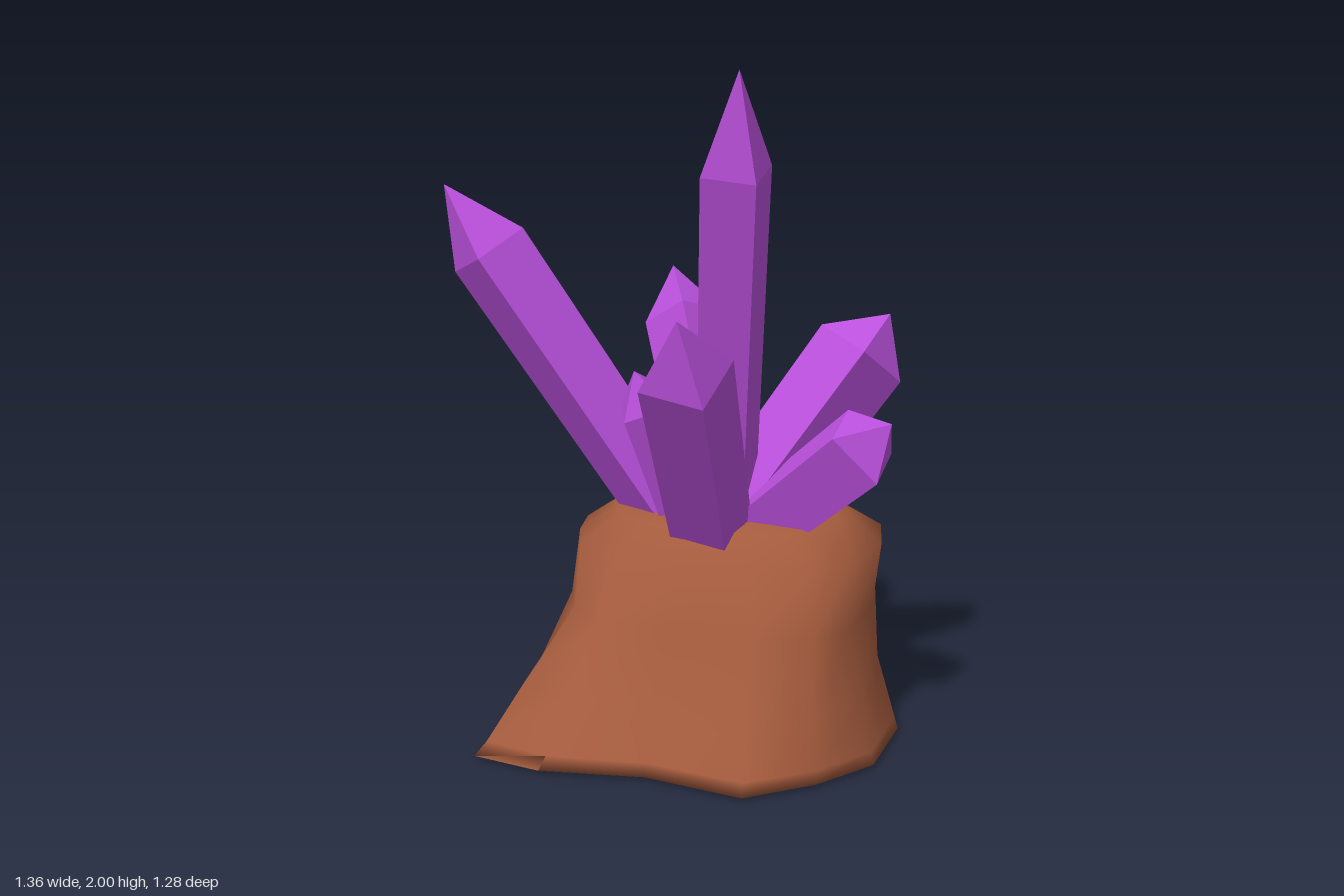
import * as THREE from 'three';

const crystalPurple = new THREE.MeshStandardMaterial({ color: 0xba50dc });
const rockBrown = new THREE.MeshStandardMaterial({ color: 0xa65c3e });

// Four-sided pointed crystal from base to tip, one ridge turned upward, then spun
function crystal(name, base, tip, radius, shoulder, spin) {
  const from = new THREE.Vector3(...base);
  const axis = new THREE.Vector3(...tip).sub(from);
  const length = axis.length();
  axis.normalize();
  const profile = [[0, 0], [radius * 0.92, 0], [radius, length * shoulder], [0, length]]
    .map(([x, y]) => new THREE.Vector2(x, y));
  const geometry = new THREE.LatheGeometry(profile, 4).toNonIndexed();
  geometry.computeVertexNormals();
  geometry.rotateY(spin);
  const ridge = new THREE.Vector3(0, 1, 0).addScaledVector(axis, -axis.y).normalize();
  const side = new THREE.Vector3().crossVectors(axis, ridge);
  geometry.applyMatrix4(new THREE.Matrix4().makeBasis(side, axis, ridge).setPosition(from));
  const mesh = new THREE.Mesh(geometry, crystalPurple);
  mesh.name = name;
  return mesh;
}

// Outlines as [x, z, lift], running from +x towards +z
const foot = [[0.68, -0.07], [0.66, 0.22], [0.53, 0.4], [0.35, 0.55], [0.05, 0.5], [-0.26, 0.55], [-0.48, 0.51],
  [-0.48, 0.24], [-0.32, 0, 0.07], [-0.2, -0.28, 0.03], [0.1, -0.45], [0.38, -0.64], [0.58, -0.28]];
const waist = [[0.59, -0.08], [0.57, 0.15], [0.49, 0.29], [0.32, 0.35], [0.05, 0.34], [-0.16, 0.31], [-0.27, 0.21],
  [-0.33, 0.08], [-0.33, -0.08], [-0.32, -0.28], [0.07, -0.53], [0.39, -0.53], [0.56, -0.28]];
const brow = [[0.61, -0.1], [0.57, 0.12], [0.47, 0.25], [0.3, 0.3], [0.08, 0.3], [-0.12, 0.26], [-0.26, 0.18],
  [-0.32, 0.03], [-0.35, -0.12], [-0.34, -0.28], [0.04, -0.51, -0.06], [0.4, -0.54, -0.08], [0.57, -0.3]];

// Moves the foot outline towards the waist, point by point
const towardWaist = (amount) => foot.map(([x, z, lift = 0], i) => {
  const t = amount(z);
  return [x + (waist[i][0] - x) * t, z + (waist[i][1] - z) * t, lift * (1 - t)];
});

function rock() {
  const n = foot.length;
  const rim = towardWaist(() => 0.12);
  // The front of the foot flares further than the back
  const lower = towardWaist((z) => (z > 0.2 ? 0.47 : 0.75));
  const crown = brow.map(([x, z]) => [0.1 + (x - 0.1) * 0.73, -0.08 + (z + 0.08) * 0.73]);
  const rings = [[0.01, foot], [0.045, rim], [0.19, lower], [0.4, waist], [0.59, brow], [0.67, crown]];
  const positions = [];
  const index = [];
  for (const [y, ring] of rings) for (const [x, z, lift = 0] of ring) positions.push(x, y + lift, z);

  // Walls
  for (let r = 0; r < rings.length - 1; r++) {
    for (let j = 0; j < n; j++) {
      const a = r * n + j, b = r * n + (j + 1) % n;
      index.push(a, a + n, b, b, a + n, b + n);
    }
  }
  // Rounded top and underside
  const top = positions.length / 3;
  const last = top - n;
  positions.push(0.1, 0.695, -0.06, 0.1, 0, 0);
  for (let j = 0; j < n; j++) {
    const k = (j + 1) % n;
    index.push(last + j, top, last + k, j, k, top + 1);
  }

  const geometry = new THREE.BufferGeometry();
  geometry.setAttribute('position', new THREE.Float32BufferAttribute(positions, 3));
  geometry.setIndex(index);
  geometry.computeVertexNormals();
  const mesh = new THREE.Mesh(geometry, rockBrown);
  mesh.name = 'rock';
  return mesh;
}

export function createModel() {
  const model = new THREE.Group();
  model.name = 'crystalCluster';
  model.add(
    rock(),
    crystal('tallCrystal', [0.13, 0.63, -0.05], [0.28, 2, 0.37], 0.113, 0.8, 0.43),
    crystal('longSideCrystal', [-0.04, 0.63, -0.04], [-0.68, 1.665, 0.185], 0.128, 0.81, -0.2),
    crystal('backCrystal', [0.1, 0.63, -0.14], [-0.185, 1.36, -0.51], 0.127, 0.79, -0.33),
    crystal('backSideCrystal', [0.16, 0.63, -0.07], [0.58, 1.26, -0.315], 0.15, 0.81, -0.34),
    crystal('lowSideCrystal', [0.25, 0.64, 0], [0.67, 1.01, 0.125], 0.13, 0.79, -0.42),
    crystal('frontCrystal', [0.14, 0.66, 0.14], [0.19, 1.36, 0.64], 0.138, 0.76, 0.5),
    crystal('uprightCrystal', [0.1, 0.63, -0.07], [0.125, 1.7, -0.18], 0.113, 0.81, -0.1),
    crystal('smallCrystal', [0.02, 0.63, 0], [-0.09, 1.13, 0.17], 0.103, 0.78, 0.15)
  );
  return model;
}
